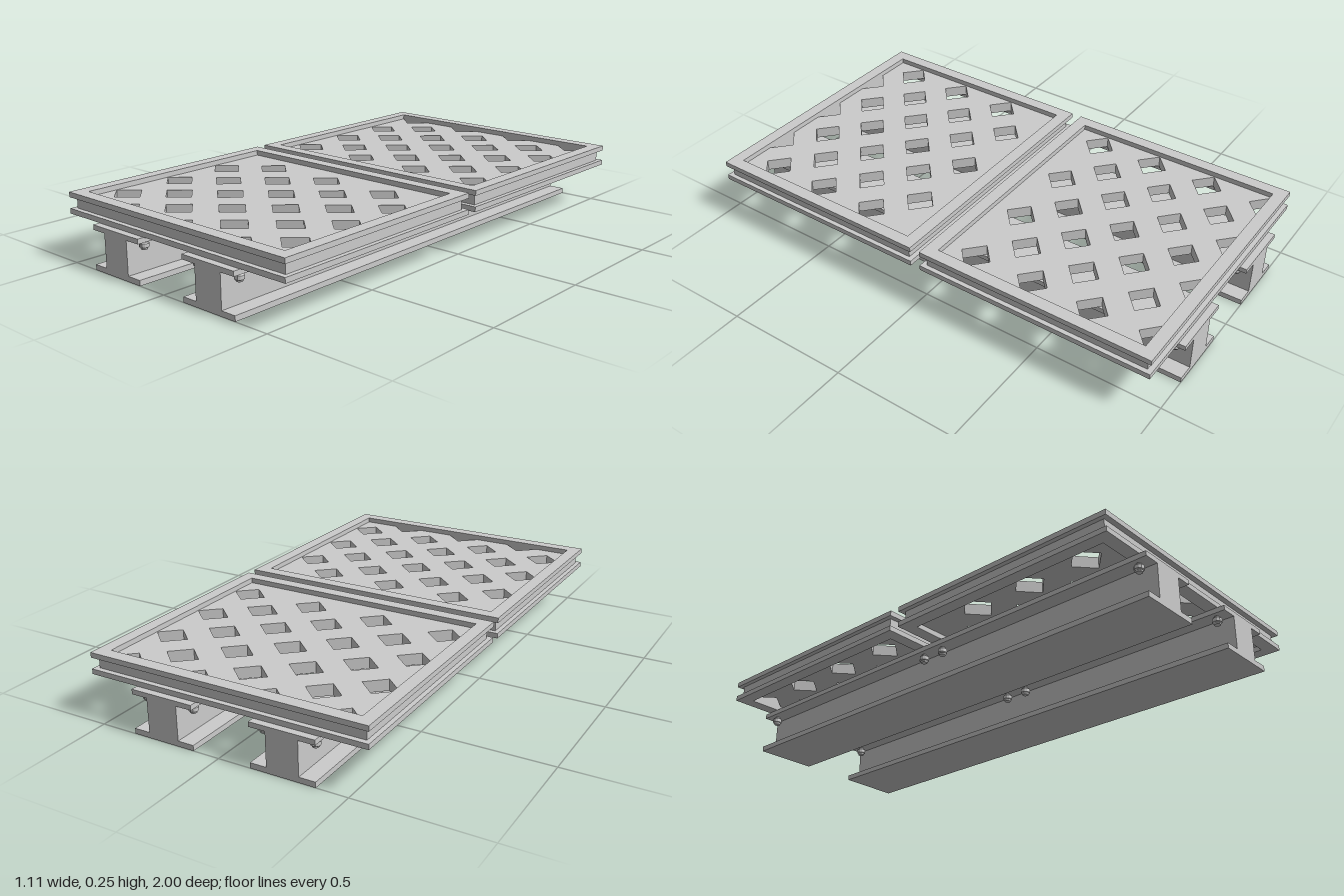
import * as THREE from 'three';

const grey = new THREE.MeshStandardMaterial({ color: 0xcccccc, flatShading: true });

function add(parent, name, geometry, x = 0, y = 0, z = 0) {
  const mesh = new THREE.Mesh(geometry, grey);
  mesh.name = name;
  mesh.position.set(x, y, z);
  parent.add(mesh);
  return mesh;
}

const polygon = (pts, Type) => new Type(pts.map(([x, y]) => new THREE.Vector2(x, y)));
const rect = (hx, hy) => [[-hx, -hy], [hx, -hy], [hx, hy], [-hx, hy]];

// Flat plate lying in the xz plane, growing upwards; the outline's y is -z
function plate(outline, holes, thickness) {
  const shape = polygon(outline, THREE.Shape);
  shape.holes = holes.map((h) => polygon(h.slice().reverse(), THREE.Path));
  const g = new THREE.ExtrudeGeometry(shape, { depth: thickness, bevelEnabled: false });
  return g.rotateX(-Math.PI / 2);
}

const HALF_X = 0.557, HALF_Z = 0.476, RIM = 0.05;
const INNER_X = HALF_X - RIM, INNER_Z = HALF_Z - RIM;
const HOLE_X = 0.07, HOLE_Z = 0.063, PITCH = 0.2455;

// Diamond hole; on the rim it becomes a half diamond
function diamond(x, y) {
  const pts = [[x, y - HOLE_Z], [x + HOLE_X, y], [x, y + HOLE_Z], [x - HOLE_X, y]];
  return pts.filter((p) => Math.abs(p[1]) <= INNER_Z + 0.001);
}

// One deck panel: two rim frames around a perforated core.
// edge = -1 puts the half holes at the back, +1 at the front.
function deckPanel(edge) {
  const panel = new THREE.Group();
  const holes = [];
  const full = [-0.435, -0.145, 0.145, 0.435];
  const between = [-0.29, 0, 0.29];
  const halfColumns = edge < 0 ? full : between;
  const otherColumns = edge < 0 ? between : full;
  for (let row = 0; row < 4; row++) {
    const z = edge * (INNER_Z - row * PITCH);
    for (const x of halfColumns) holes.push(diamond(x, -z));
    if (row < 3) for (const x of otherColumns) holes.push(diamond(x, -(z - edge * PITCH / 2)));
  }
  add(panel, 'perforatedPlate', plate(rect(HALF_X - 0.018, HALF_Z - 0.02), holes, 0.043), 0, 0.191, 0);
  const rim = plate(rect(HALF_X, HALF_Z), [rect(INNER_X, INNER_Z)], 0.02);
  add(panel, 'lowerRim', rim, 0, 0.171, 0);
  add(panel, 'upperRim', rim, 0, 0.234, 0);
  return panel;
}

// I-beam running along z
function beamGeometry() {
  const f = 0.126, w = 0.0625, top = 0.171, under = 0.152, foot = 0.021;
  const right = [[f, 0], [f, foot], [w, foot], [w, under], [f, under], [f, top]];
  const left = right.map(([x, y]) => [-x, y]).reverse();
  const g = new THREE.ExtrudeGeometry(polygon([...right, ...left], THREE.Shape), { depth: 2, bevelEnabled: false });
  return g.translate(0, 0, -1);
}

// Bolt hanging below the upper flange: shank with a chamfered nut
function boltGeometry() {
  const profile = [[0, 0.118], [0.012, 0.118], [0.014, 0.124], [0.018, 0.127],
    [0.018, 0.141], [0.014, 0.145], [0.009, 0.145], [0.009, 0.153]];
  return new THREE.LatheGeometry(profile.map(([r, y]) => new THREE.Vector2(r, y)), 12);
}

export function createModel() {
  const model = new THREE.Group();
  model.name = 'deckOnBeams';

  for (const edge of [-1, 1]) {
    const panel = deckPanel(edge);
    panel.name = edge < 0 ? 'backDeckPanel' : 'frontDeckPanel';
    panel.position.z = edge * 0.497;
    model.add(panel);
  }

  const beam = beamGeometry();
  const bolt = boltGeometry();
  for (const [name, x] of [['rightBeam', -0.254], ['leftBeam', 0.23]]) {
    const group = new THREE.Group();
    group.name = name;
    group.position.x = x;
    add(group, 'beam', beam);
    for (const side of [-1, 1])
      for (const z of [-0.952, -0.045, 0.052, 0.952]) add(group, 'bolt', bolt, side * 0.099, 0, z);
    model.add(group);
  }
  return model;
}
